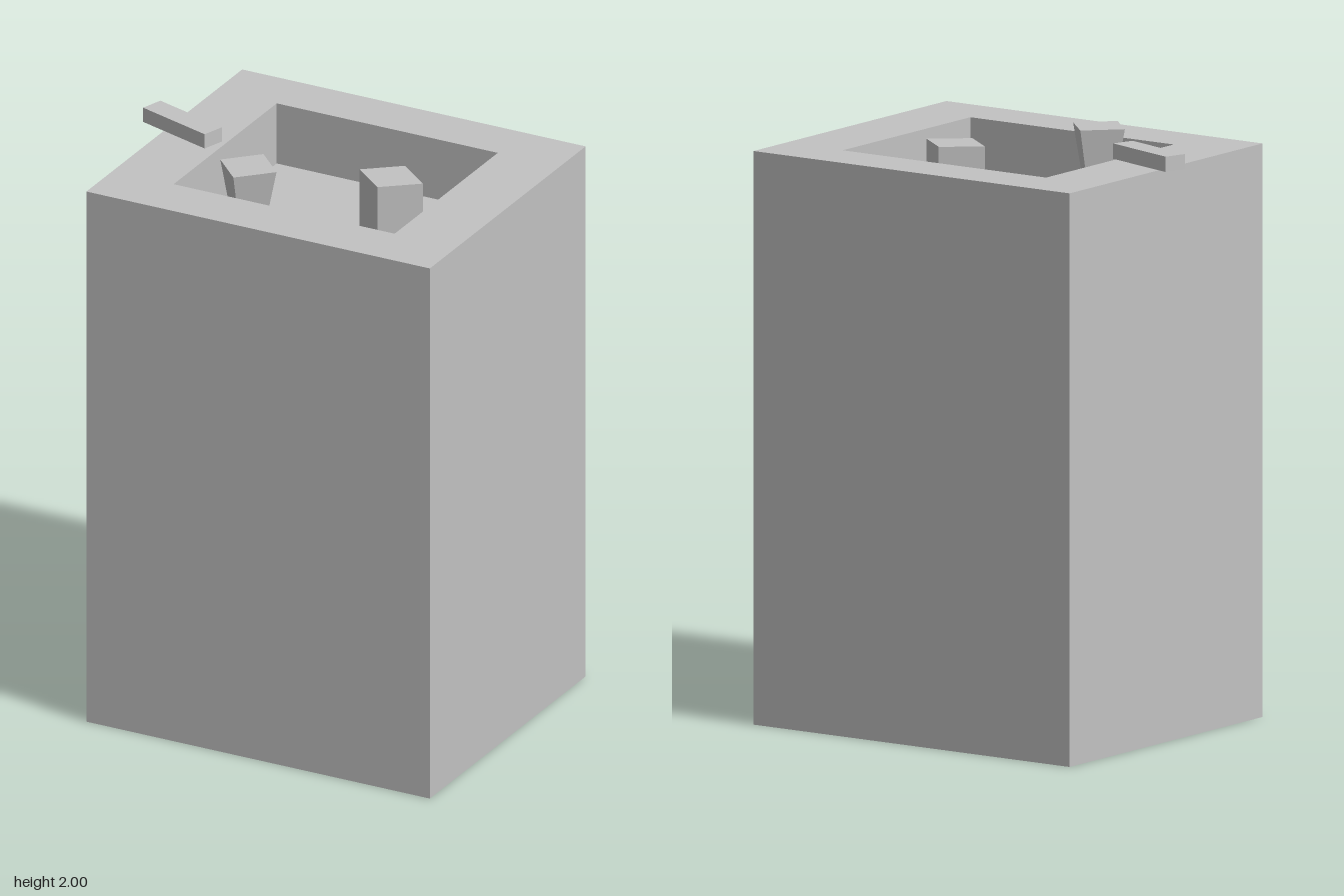
import * as THREE from 'three';

const TOP = 1.94, FLOOR = 1.72;

// Corner points of an axis-aligned rectangle
function rectangle(x0, x1, y0, y1) {
  return [[x0, y0], [x1, y0], [x1, y1], [x0, y1]].map(([x, y]) => new THREE.Vector2(x, y));
}

export function createModel() {
  const model = new THREE.Group();
  const grey = new THREE.MeshStandardMaterial({ color: 0xc2c2c2 });
  grey.name = 'plain grey';

  function add(name, geometry, x, y, z) {
    const mesh = new THREE.Mesh(geometry, grey);
    mesh.name = name;
    mesh.position.set(x, y, z);
    model.add(mesh);
    return mesh;
  }

  // Solid block up to the floor of the recess
  add('body', new THREE.BoxGeometry(1.294, FLOOR, 1.098), 0.043, FLOOR / 2, 0);

  // Rim around the recess
  const rimShape = new THREE.Shape(rectangle(-0.604, 0.69, -0.549, 0.549));
  rimShape.holes.push(new THREE.Path(rectangle(-0.376, 0.457, -0.361, 0.366).reverse()));
  const rim = new THREE.ExtrudeGeometry(rimShape, { depth: TOP - FLOOR, bevelEnabled: false });
  rim.rotateX(-Math.PI / 2);
  add('rim', rim, 0, FLOOR, 0);

  // Four-sided posts standing in the recess, corners along x and z
  function post(name, x, z, top, rTop, rBottom, depthScale) {
    const height = top - FLOOR;
    const geometry = new THREE.CylinderGeometry(rTop, rBottom, height, 4).toNonIndexed();
    geometry.scale(1, 1, depthScale);
    geometry.computeVertexNormals();
    add(name, geometry, x, FLOOR + height / 2, z);
  }
  post('taperedPost', -0.164, 0.23, 2, 0.106, 0.047, 1);
  post('straightPost', 0.233, -0.034, TOP, 0.12, 0.12, 0.8);

  // Bar lying across the left-hand edge of the rim
  const bar = add('bar', new THREE.BoxGeometry(0.294, 0.052, 0.08), -0.538, 1.974, -0.005);
  bar.rotation.y = -0.31;

  return model;
}
